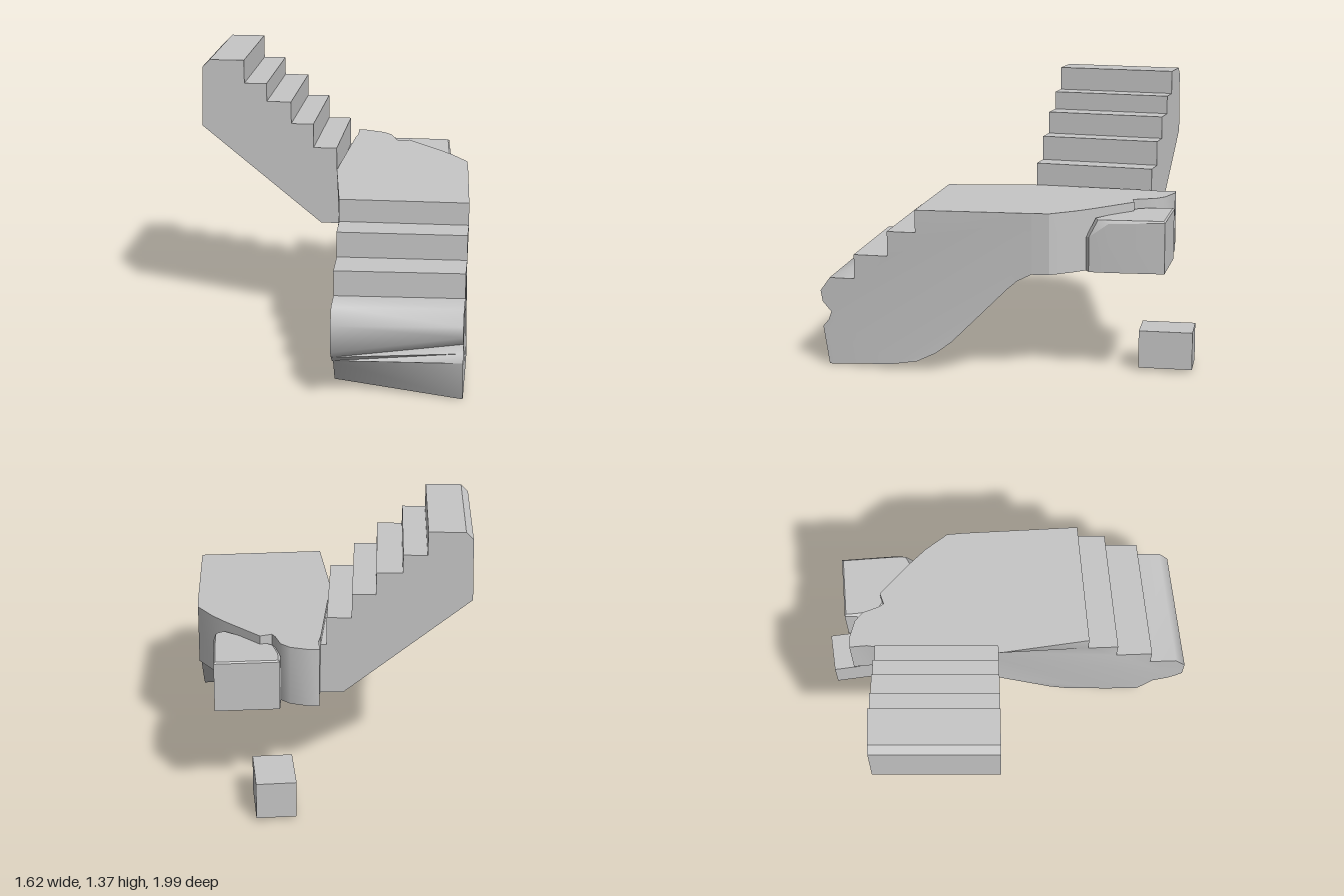
import * as THREE from 'three';
import { toCreasedNormals } from 'three/addons/utils/BufferGeometryUtils.js';

const V2 = (p) => new THREE.Vector2(p[0], p[1]);

// Solid joining two matching outlines; flat is the 2D outline used to fill both ends.
function bridge(a, b, flat, crease = 0.55) {
  if (THREE.ShapeUtils.isClockWise(flat.map(V2))) {
    a = [...a].reverse(); b = [...b].reverse(); flat = [...flat].reverse();
  }
  const n = a.length;
  const pts = [...a, ...b].map((p) => new THREE.Vector3(...p));
  const tris = [];
  for (const [i, j, k] of THREE.ShapeUtils.triangulateShape(flat.map(V2), [])) {
    tris.push([i, j, k], [n + i, n + k, n + j]);
  }
  for (let i = 0; i < n; i++) {
    const j = (i + 1) % n;
    tris.push([i, n + i, n + j], [i, n + j, j]);
  }
  // Face the whole solid outward
  let volume = 0;
  for (const [i, j, k] of tris) volume += pts[i].dot(pts[j].clone().cross(pts[k]));
  const pos = [];
  for (const [i, j, k] of tris) {
    for (const q of volume > 0 ? [i, j, k] : [i, k, j]) pos.push(...pts[q].toArray());
  }
  const g = new THREE.BufferGeometry();
  g.setAttribute('position', new THREE.Float32BufferAttribute(pos, 3));
  return toCreasedNormals(g, crease);
}

// Position along a plan line of [s, x, z] stations
function along(line, s) {
  let i = 0;
  while (i < line.length - 2 && s > line[i + 1][0]) i++;
  const [p, q] = [line[i], line[i + 1]];
  const f = (s - p[0]) / (q[0] - p[0]);
  return [p[1] + f * (q[1] - p[1]), p[2] + f * (q[2] - p[2])];
}

// The lower half of the ruin leans slightly to the front
const lean = (x, y, z) => [x, y - 0.03 * z, z];

export function createModel() {
  const model = new THREE.Group();
  model.name = 'brokenStaircase';
  const stone = new THREE.MeshStandardMaterial({ color: 0xc6c6c6 });
  stone.name = 'grey stone';
  const add = (name, geometry) => {
    const mesh = new THREE.Mesh(geometry, stone);
    mesh.name = name;
    model.add(mesh);
    return mesh;
  };

  // Lower flight: stepped top, curved underside, worn front face
  const rightLine = [[0, -0.81, 0.58], [0.5, -0.425, 0.237], [0.95, -0.12, -0.1], [1.07, 0, -0.19]];
  const leftLine = [[0, -0.38, 1.0], [0.5, 0, 0.68], [1.07, 0.42, 0.29]];
  const body = [
    [0.18, 0.472], [0.18, 0.593], [0.355, 0.593], [0.355, 0.715], [0.5, 0.715],
    [0.5, 0.825], [0.95, 0.825], [1.07, 0.825], [1.07, 0.53], [1.0, 0.495], [0.95, 0.452],
    [0.676, 0.18], [0.595, 0.12], [0.5, 0.075], [0.37, 0.053],
  ];
  const wornLeft = [[0.04, 0.035], [0.01, 0.225], [0.04, 0.26], [0.055, 0.3], [0.01, 0.35], [0, 0.405], [0.05, 0.472]];
  const wornRight = [[0.21, 0.045], [0.14, 0.165], [0.07, 0.2], [0.03, 0.235], [0, 0.27], [0, 0.4], [0.05, 0.472]];
  const place = (line) => ([s, y]) => {
    const [x, z] = along(line, s);
    return lean(x, y, z);
  };
  const leftSide = [...wornLeft, ...body];
  const rightSide = [...wornRight, ...body];
  add('lowerFlight', bridge(rightSide.map(place(rightLine)), leftSide.map(place(leftLine)), leftSide, 1.0));

  // Landing with a cracked outer edge
  const landing = [
    [0.42, 0.29], [0, -0.19], [0.35, -0.45], [0.4, -0.48], [0.46, -0.54], [0.49, -0.51], [0.53, -0.42],
    [0.53, -0.36], [0.49, -0.29], [0.48, -0.26], [0.53, -0.23], [0.52, 0], [0.51, 0.1], [0.48, 0.23],
  ];
  add('landing', bridge(
    landing.map(([x, z]) => lean(x, 0.53, z)),
    landing.map(([x, z]) => lean(x, 0.825, z)), landing));

  // Upper flight: five steps, sloping underside and chamfered end
  const risers = [0, 0.115, 0.225, 0.345, 0.455];
  const treads = [0.94, 1.06, 1.17, 1.26, 1.375];
  const upper = [[-0.04, 0.55], [-0.04, 0.8], [0, 0.8]];
  risers.forEach((r, i) => {
    upper.push([r, treads[i]]);
    if (i < 4) upper.push([risers[i + 1], treads[i]]);
  });
  upper.push([0.625, 1.375], [0.66, 1.34], [0.67, 1.04], [0.08, 0.55]);
  const climb = (x0, z0) => ([s, y]) => [x0 - 0.645 * s, y, z0 - 0.765 * s];
  add('upperFlight', bridge(
    upper.map(climb(-0.12, -0.1)), upper.map(climb(0.342, -0.478)), upper));

  // Cracked block wedged against the landing: plan points with their shoulder heights
  const block = [
    [0.6, -0.42, 0.775], [0.81, -0.2, 0.775], [0.62, -0.01, 0.765], [0.55, 0.05, 0.7],
    [0.51, 0.04, 0.69], [0.5, -0.2, 0.765], [0.48, -0.28, 0.765], [0.54, -0.37, 0.765],
  ];
  const blockTop = [
    [0.6, -0.41], [0.8, -0.2], [0.615, -0.02], [0.575, 0.015],
    [0.535, 0], [0.51, -0.2], [0.5, -0.28], [0.55, -0.36],
  ];
  const shoulder = block.map(([x, z, y]) => lean(x, y, z));
  add('looseBlock', bridge(block.map(([x, z]) => lean(x, 0.53, z)), shoulder, block));
  add('looseBlockTop', bridge(shoulder, blockTop.map(([x, z]) => lean(x, 0.782, z)), block));

  // Small fallen brick
  const brick = add('fallenBrick', new THREE.BoxGeometry(0.19, 0.185, 0.26));
  brick.position.set(0.605, 0.113, -0.385);
  brick.rotation.y = -0.75;

  return model;
}
